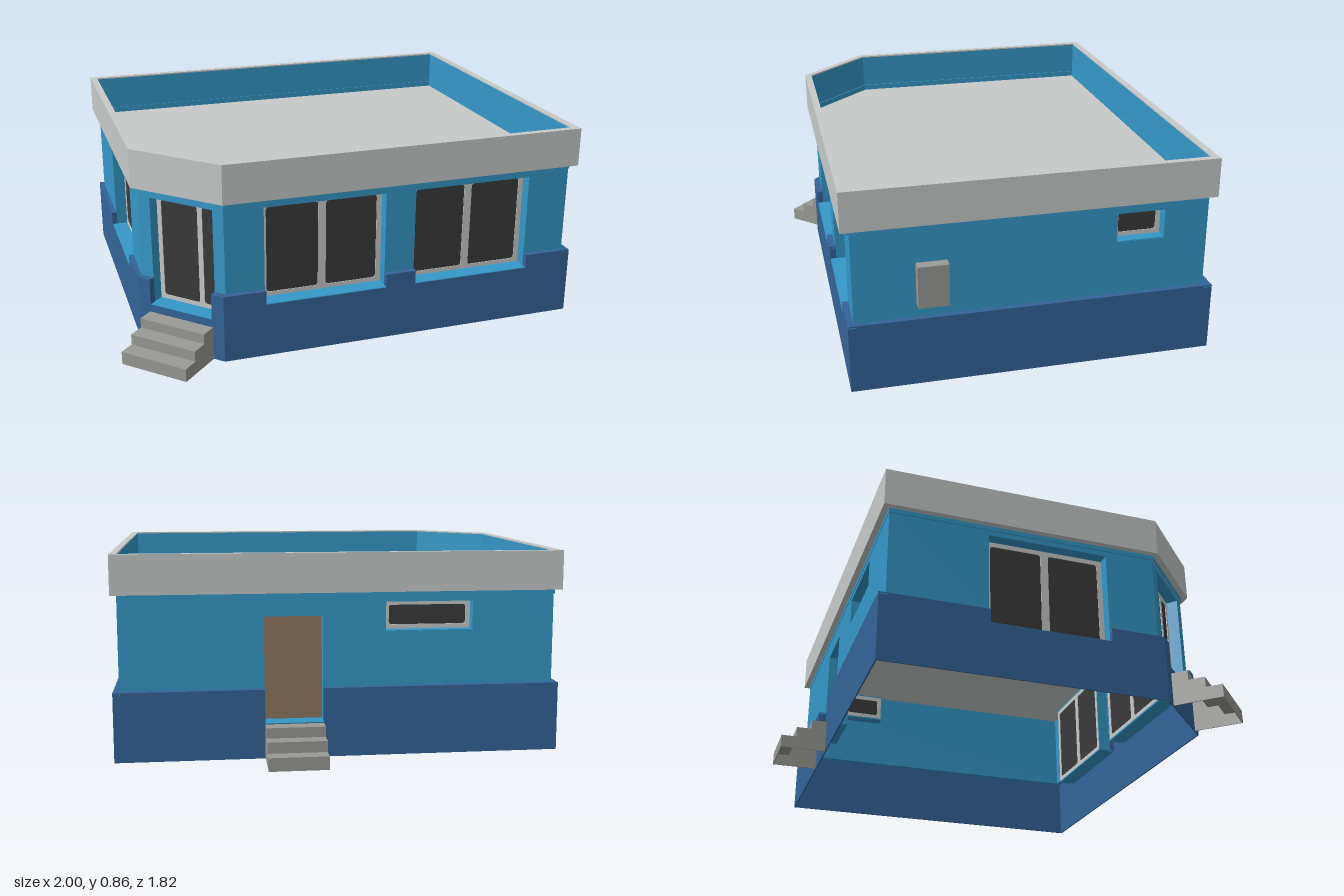
import * as THREE from 'three';

const mat = (name, color) => {
  const m = new THREE.MeshStandardMaterial({ color });
  m.name = name;
  return m;
};

export function createModel() {
  const M = {
    wall: mat('wallBlue', 0x3598c8),
    base: mat('baseNavy', 0x346498),
    trim: mat('trimGrey', 0xc8caca),
    glass: mat('darkGlass', 0x3a3a3a),
    step: mat('stepGrey', 0x999995),
    door: mat('doorBrown', 0x907860),
  };
  const house = new THREE.Group();
  house.name = 'house';

  const add = (parent, name, geo, material, x = 0, y = 0, z = 0) => {
    const mesh = new THREE.Mesh(geo, material);
    mesh.name = name;
    mesh.position.set(x, y, z);
    parent.add(mesh);
  };
  const extrude = (shape, depth) =>
    new THREE.ExtrudeGeometry(shape, { depth, bevelEnabled: false, curveSegments: 3 });
  const poly = (pts) => new THREE.Shape(pts.map(([x, y]) => new THREE.Vector2(x, y)));
  // box given by its limits
  const block = (parent, name, material, x0, x1, y0, y1, z0, z1) =>
    add(parent, name, new THREE.BoxGeometry(x1 - x0, y1 - y0, z1 - z0), material,
      (x0 + x1) / 2, (y0 + y1) / 2, (z0 + z1) / 2);

  // Floor plan with one cut corner (on the line z - x = c), as [x, z]
  const outline = (x0, x1, z0, z1, c) => [[x0, x0 + c], [z1 - c, z1], [x1, z1], [x1, z0], [x0, z0]];
  const roofLine = (d) => outline(-0.9 + d, 0.98 - d, -0.705 + d, 0.815 - d, 1.405 - d * Math.SQRT2);
  const baseLine = outline(-0.89, 0.98, -0.71, 0.805, 1.4);
  const wallLine = outline(-0.87, 0.955, -0.677, 0.78, 1.36);

  const flip = (pts) => poly(pts.map(([x, z]) => [x, -z]));
  const slab = (name, material, y0, y1, d, hole) => {
    const s = flip(roofLine(d));
    if (hole) s.holes.push(flip(roofLine(hole)));
    add(house, name, extrude(s, y1 - y0).rotateX(-Math.PI / 2), material, 0, y0, 0);
  };

  // Rounded opening for a pane
  const paneHole = (a, b, y0, y1, r = 0.013) => {
    const p = new THREE.Path();
    p.moveTo(a + r, y0);
    p.lineTo(b - r, y0).quadraticCurveTo(b, y0, b, y0 + r);
    p.lineTo(b, y1 - r).quadraticCurveTo(b, y1, b - r, y1);
    p.lineTo(a + r, y1).quadraticCurveTo(a, y1, a, y1 - r);
    p.lineTo(a, y0 + r).quadraticCurveTo(a, y0, a + r, y0);
    return p;
  };

  const BASE_TOP = 0.292, WALL_BOTTOM = 0.284, WALL_TOP = 0.7, SHELL = 0.006;
  const isLow = (o) => o.y0 < WALL_BOTTOM;

  // Base wall, notched from the top wherever an opening dips into it
  const baseShape = (len, low) => {
    const pts = [[0, 0], [len, 0], [len, BASE_TOP]];
    [...low].reverse().forEach(({ a, b, y0 }) => pts.push([b, BASE_TOP], [b, y0], [a, y0], [a, BASE_TOP]));
    return poly([...pts, [0, BASE_TOP]]);
  };
  // Upper wall: low openings notch the bottom edge, high ones are holes
  const wallShape = (u0, u1, openings) => {
    const pts = [[u1, WALL_TOP], [u0, WALL_TOP], [u0, WALL_BOTTOM]];
    openings.filter(isLow).forEach(({ a, b, y1 }) =>
      pts.push([a, WALL_BOTTOM], [a, y1], [b, y1], [b, WALL_BOTTOM]));
    const s = poly([...pts, [u1, WALL_BOTTOM]]);
    openings.filter((o) => !isLow(o)).forEach(({ a, b, y0, y1 }) =>
      s.holes.push(poly([[a, y0], [b, y0], [b, y1], [a, y1]])));
    return s;
  };

  // Recess boxed in behind an opening, with its sill and cheeks through the base
  const reveal = (side, o, zWall, zBack) => {
    const { a, b, y0, y1 } = o, zFront = zWall - 0.002;
    for (const u of [a - SHELL, b]) {
      block(side, 'jamb', M.wall, u, u + SHELL, y0 - SHELL, y1 + SHELL, zBack, zFront);
      if (isLow(o)) block(side, 'baseCheek', M.base, u, u + SHELL, y0, BASE_TOP - 0.001, zFront, -0.002);
    }
    block(side, 'lintel', M.wall, a, b, y1, y1 + SHELL, zBack, zFront);
    block(side, 'sill', M.wall, a, b, y0 - SHELL, y0 + 0.002, zBack, isLow(o) ? -0.002 : zFront);
  };

  // Framed glazing; panes are [start, end] distances from the opening's edge
  const glazing = (side, { a, b, y0, y1, panes, kind }, z) => {
    const g = new THREE.Group();
    g.name = kind;
    side.add(g);
    const frame = poly([[a, y0], [b, y0], [b, y1], [a, y1]]);
    panes.forEach(([p, q]) => frame.holes.push(paneHole(a + p, a + q, y0 + 0.02, y1 - 0.02)));
    add(g, 'frame', extrude(frame, 0.012), M.trim, 0, 0, z);
    panes.forEach(([p, q]) =>
      block(g, 'pane', M.glass, a + p - 0.005, a + q + 0.005, y0 + 0.015, y1 - 0.015, z + 0.003, z + 0.009));
  };

  // Three hollow steps projecting from the wall
  const stairs = (side, a, b, depth) => {
    const heights = [0.145, 0.102, 0.056, 0], run = depth / 3, t = 0.004;
    const pts = [[0, 0]];
    for (let k = 0; k < 3; k++) {
      pts.push([k * run, heights[k]], [(k + 1) * run, heights[k]]);
      const end = (k + 1) * run;
      block(side, 'tread', M.step, a + t, b - t, heights[k] - t, heights[k], k * run - t, end);
      block(side, 'riser', M.step, a + t, b - t, heights[k + 1], heights[k] - t, end - t, end);
    }
    pts.push([depth, 0]);
    for (const u of [a + t, b])
      add(side, 'stairSide', extrude(poly(pts), t).rotateY(-Math.PI / 2), M.step, u, 0, 0);
  };

  const big = (a, w = 0.525) => ({ a, b: a + w, y0: 0.232, y1: 0.648, kind: 'window',
    panes: [[0.022, w / 2 - 0.017], [w / 2 + 0.017, w - 0.022]] });
  const small = (a, w) => ({ a, b: a + w, y0: 0.523, y1: 0.646, kind: 'window', panes: [[0.02, w - 0.02]] });

  // Sides in order round the plan; distances run along each side
  const sides = [
    { name: 'cornerSide', openings: [{ a: 0.059, b: 0.359, y0: 0.178, y1: 0.648, kind: 'glassDoor',
      panes: [[0.02, 0.195], [0.218, 0.28]] }], steps: [0.053, 0.364, 0.208] },
    { name: 'frontSide', openings: [big(0.18), big(0.838)] },
    { name: 'rightSide', openings: [small(1.095, 0.2)] },
    { name: 'backSide', openings: [{ a: 0.62, b: 0.865, y0: 0.147, y1: 0.592, kind: 'backDoor' },
      small(1.13, 0.37)], steps: [0.62, 0.865, 0.2] },
    { name: 'leftSide', openings: [big(0.455)] },
  ];
  sides.forEach(({ name, openings, steps }, i) => {
    const j = (i + 1) % 5;
    const [ax, az] = baseLine[i], dx = baseLine[j][0] - ax, dz = baseLine[j][1] - az;
    const len = Math.hypot(dx, dz);
    const along = ([x, z]) => ((x - ax) * dx + (z - az) * dz) / len;
    // set-back of the upper wall behind the base
    const zWall = ((wallLine[i][1] - az) * dx - (wallLine[i][0] - ax) * dz) / len;
    const zFrame = zWall - 0.062;
    const side = new THREE.Group();
    side.name = name;
    side.position.set(ax, 0, az);
    side.rotation.y = Math.atan2(-dz, dx);
    house.add(side);

    const low = openings.filter(isLow);
    add(side, 'baseWall', extrude(baseShape(len, low), SHELL), M.base, 0, 0, -SHELL);
    add(side, 'upperWall', extrude(wallShape(along(wallLine[i]), along(wallLine[j]), openings), SHELL),
      M.wall, 0, 0, zWall - SHELL);

    // Ledge on top of the base, broken by the low openings
    const cuts = [0, ...low.flatMap((o) => [o.a, o.b]), len];
    for (let k = 0; k < cuts.length; k += 2) {
      block(side, 'ledge', M.base, cuts[k], cuts[k + 1], BASE_TOP - 0.005, BASE_TOP, zWall - 0.004, -0.001);
      block(side, 'ledgeUnderside', M.wall, cuts[k], cuts[k + 1], BASE_TOP - 0.01, BASE_TOP - 0.005,
        zWall - SHELL, -0.003);
    }
    openings.forEach((o) => {
      reveal(side, o, zWall, zFrame);
      if (o.panes) glazing(side, o, zFrame);
      else block(side, o.kind, M.door, o.a, o.b, o.y0, o.y1, zFrame, zFrame + 0.012);
    });
    if (steps) stairs(side, ...steps);
    if (name === 'rightSide') block(side, 'meterBox', M.step, 0.275, 0.4, 0.348, 0.526, zWall - 0.004, 0.02);
  });

  // Sunken roof, fascia band and the painted inside of the parapet
  slab('roof', M.trim, 0.668, 0.675, 0.031);
  slab('fascia', M.trim, 0.69, 0.856, 0, 0.03);
  slab('parapetLining', M.wall, 0.67, 0.85, 0.026, 0.0305);

  return house;
}
